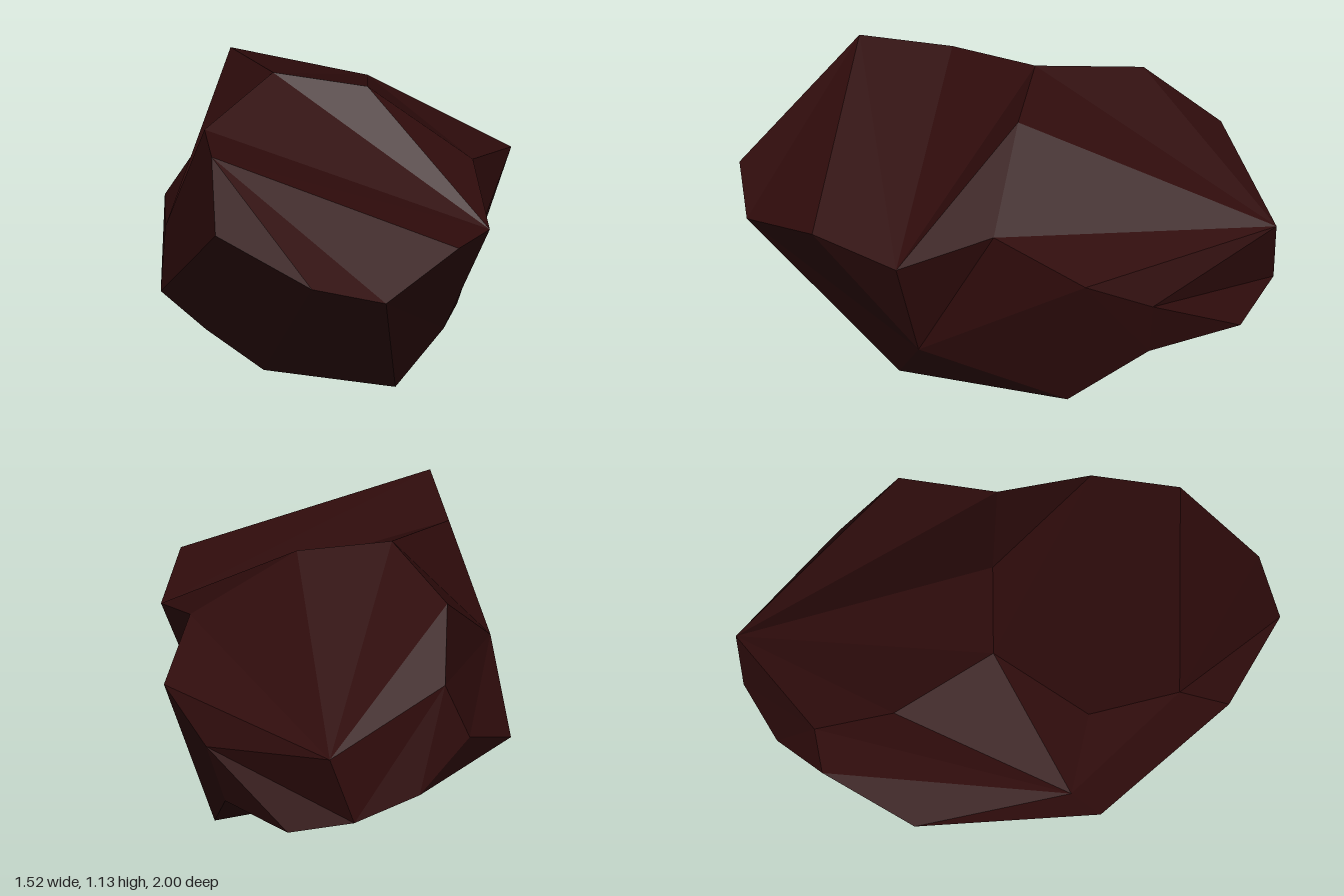
import * as THREE from 'three';

// Corners of the rock
const corner = {
  // front ledge: ridge, brow and valley ends
  F: [-0.7, 1.11, 0.37], C: [0.16, 0.77, 0.85],
  G: [-0.76, 0.86, 0.56], B: [-0.5, 0.745, 0.935], A: [-0.21, 0.66, 1.0],
  H: [-0.59, 1.055, 0.02], D: [0.4, 0.69, 0.58],
  // crown and shoulder
  I: [-0.21, 1.14, -0.2], J: [0.12, 1.1, -0.02], N: [-0.21, 1.05, -0.65],
  E: [0.48, 0.815, 0.2], K: [0.76, 0.69, -0.09], L: [0.73, 0.53, -0.38],
  M: [0.5, 0.66, -0.97], O: [-0.05, 0.84, -0.92],
  // back rim and sides
  P: [-0.15, 0.6, -0.94], V: [0.11, 0.43, -1.0], U: [0.4, 0.37, -0.99],
  W: [-0.47, 0.43, -0.7], X: [-0.76, 0.36, -0.02], b: [-0.7, 0.59, -0.12],
  T: [0.59, 0.29, -0.79], S: [0.65, 0.28, -0.39],
  // underside
  R: [0.53, 0.045, -0.09], a: [0.22, 0.12, -0.27], c: [0.26, 0.22, 0.44],
  Q: [0.05, 0.005, 0.45], Z: [-0.41, 0.05, 0.2], Y: [-0.6, 0.2, 0.06],
};

// Facets of each part, every one a fan from its first corner
const parts = {
  frontLedge: ['FHDC', 'FGBAC'],
  valleyWall: ['DHIJE'],
  crown: ['MONIJEKL'],
  rightFlank: ['KLSRcE', 'EcD', 'cCD', 'LMUTS'],
  leftFlank: ['bHINOPWX', 'HbF', 'FGXb'],
  backFace: ['OPVUM', 'VPW'],
  frontFace: ['ACcQ', 'BAQZ', 'GXYZB'],
  underside: ['QcR', 'aQRST', 'aQZ', 'WXYZaT', 'WTUV'],
};

const core = new THREE.Vector3(0, 0.55, 0);

function facets(faces) {
  const positions = [];
  for (const face of faces) {
    for (let i = 1; i < face.length - 1; i++) {
      const [p, q, r] = [face[0], face[i], face[i + 1]].map((k) => new THREE.Vector3(...corner[k]));
      // turn every triangle away from the core
      const triangle = new THREE.Triangle(p, q, r);
      const outward = triangle.getMidpoint(new THREE.Vector3()).sub(core);
      const normal = triangle.getNormal(new THREE.Vector3());
      const ordered = normal.dot(outward) > 0 ? [p, q, r] : [p, r, q];
      ordered.forEach((v) => positions.push(v.x, v.y, v.z));
    }
  }
  const geometry = new THREE.BufferGeometry();
  geometry.setAttribute('position', new THREE.Float32BufferAttribute(positions, 3));
  geometry.computeVertexNormals();
  return geometry;
}

export function createModel() {
  const group = new THREE.Group();
  group.name = 'rock';

  const darkStone = new THREE.MeshStandardMaterial({ color: 0x300c0c });
  darkStone.name = 'dark reddish stone';

  for (const [name, faces] of Object.entries(parts)) {
    const mesh = new THREE.Mesh(facets(faces), darkStone);
    mesh.name = name;
    group.add(mesh);
  }
  return group;
}
